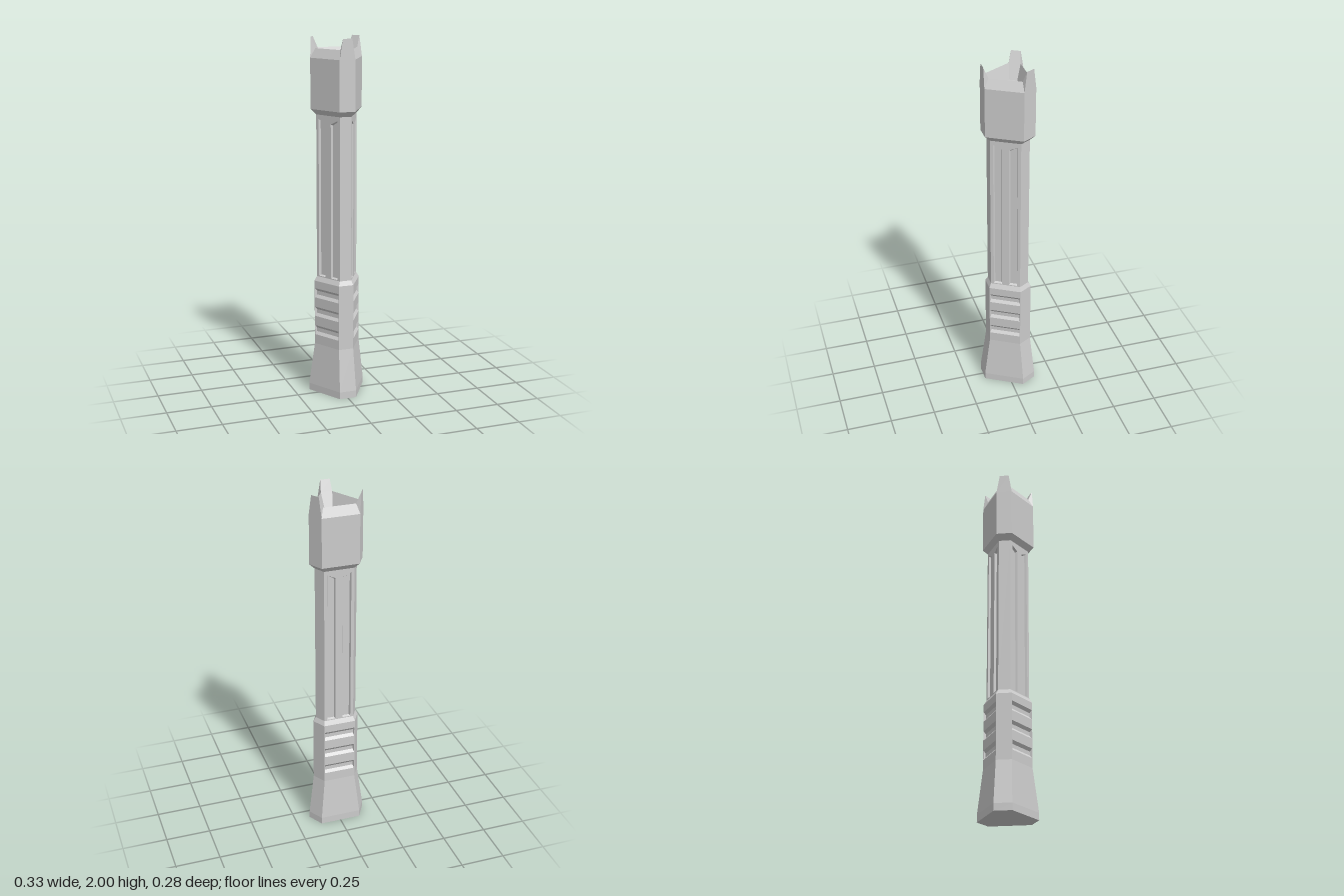
import * as THREE from 'three';

const V = (x, y, z) => new THREE.Vector3(x, y, z);
const UP = V(0, 1, 0);

// Point on a narrow corner face, which stands 60 degrees round from the wide face
const corner = (u, y, d) => V(u, y, d).applyAxisAngle(UP, Math.PI / 3);

// One third of a hexagonal ring: d = distance of the corner face, w = its half width.
// l0-l1 is the wide edge, s0-s1 the corner edge.
function ring(y, d, w) {
  const dl = (d + Math.sqrt(3) * w) / 2;
  const half = d * Math.sqrt(3) / 2 - w / 2;
  return { y, dl, half, l0: V(-half, y, dl), l1: V(half, y, dl), s0: corner(-w, y, d), s1: corner(w, y, d) };
}

// Collects flat faces
class Faces {
  constructor() { this.p = []; }
  add(...pts) {
    for (let i = 1; i < pts.length - 1; i++)
      for (const v of [pts[0], pts[i], pts[i + 1]]) this.p.push(v.x, v.y, v.z);
  }
  wide(a, b) { this.add(a.l0, a.l1, b.l1, b.l0); }
  narrow(a, b) { this.add(a.s0, a.s1, b.s1, b.s0); }
  loft(...rings) {
    for (let i = 0; i < rings.length - 1; i++) {
      this.wide(rings[i], rings[i + 1]);
      this.narrow(rings[i], rings[i + 1]);
    }
  }
  cap(r, up) {
    const c = V(0, r.y, 0);
    if (up) { this.add(c, r.l0, r.l1); this.add(c, r.s0, r.s1); }
    else { this.add(c, r.l1, r.l0); this.add(c, r.s1, r.s0); }
  }
  // Upright wide face cut by recessed grooves (outlines counter-clockwise)
  grooved(a, b, grooves, depth, ix, iy) {
    const vec = (l) => l.map(([x, y]) => new THREE.Vector2(x, y));
    const shape = new THREE.Shape(vec([[-a.half, a.y], [a.half, a.y], [a.half, b.y], [-a.half, b.y]]));
    for (const g of grooves) shape.holes.push(new THREE.Path(vec(g)));
    const flat = new THREE.ShapeGeometry(shape).toNonIndexed().translate(0, 0, a.dl);
    this.p.push(...flat.attributes.position.array);
    for (const g of grooves) {
      const cx = g.reduce((s, q) => s + q[0], 0) / g.length;
      const cy = g.reduce((s, q) => s + q[1], 0) / g.length;
      const rim = g.map(([x, y]) => V(x, y, a.dl));
      const bed = g.map(([x, y]) => V(x - Math.sign(x - cx) * ix, y - Math.sign(y - cy) * iy, a.dl - depth));
      rim.forEach((r, i) => {
        const j = (i + 1) % rim.length;
        this.add(r, rim[j], bed[j], bed[i]);
      });
      this.add(...bed);
    }
  }
  geometry() {
    const g = new THREE.BufferGeometry();
    g.setAttribute('position', new THREE.Float32BufferAttribute(this.p, 3));
    g.computeVertexNormals();
    return g;
  }
}

export function createModel() {
  const model = new THREE.Group();
  model.name = 'triangularHandle';
  const material = new THREE.MeshStandardMaterial({ color: 0xcccccc, flatShading: true });

  // Repeats a third of a part around the axis
  function part(name, build) {
    const faces = new Faces();
    build(faces);
    const geometry = faces.geometry();
    const group = new THREE.Group();
    group.name = name;
    group.position.z = -0.021;
    for (let k = 0; k < 3; k++) {
      const mesh = new THREE.Mesh(geometry, material);
      mesh.name = name + 'Side' + (k + 1);
      mesh.rotation.y = Math.PI + k * Math.PI * 2 / 3;
      group.add(mesh);
    }
    model.add(group);
  }

  const gripLow = ring(0.28, 0.128, 0.042), gripHigh = ring(0.65, 0.128, 0.042);
  const shaftLow = ring(0.675, 0.116, 0.033), shaftHigh = ring(1.585, 0.116, 0.033);

  // Flared foot
  part('base', (f) => {
    const bottom = ring(0, 0.1605, 0.048);
    f.cap(bottom, false);
    f.loft(bottom, ring(0.04, 0.1605, 0.048), gripLow);
  });

  // Grip with three cross grooves on each wide face
  part('grip', (f) => {
    const x = gripLow.half - 0.003;
    const grooves = [0.334, 0.443, 0.552].map((y) => [[-x, y], [x, y], [x, y + 0.054], [-x, y + 0.054]]);
    f.grooved(gripLow, gripHigh, grooves, 0.012, 0.004, 0.016);
    f.narrow(gripLow, gripHigh);
    f.loft(gripHigh, shaftLow);
  });

  // Shaft with two long flutes on each wide face
  part('shaft', (f) => {
    const right = [[0.02, 0.68], [0.067, 0.68], [0.067, 1.562], [0.02, 1.54]];
    const left = right.map(([x, y]) => [-x, y]).reverse();
    f.grooved(shaftLow, shaftHigh, [left, right], 0.012, 0.005, 0.006);
    f.narrow(shaftLow, shaftHigh);
  });

  // Hollow head with a pointed prong on each corner
  part('head', (f) => {
    const outer = ring(1.89, 0.145, 0.044);
    const rim = ring(1.94, 0.12, 0.031);
    const floor = ring(1.86, 0.086, 0.022);
    const tip0 = corner(-0.026, 2, 0.145), tip1 = corner(0.026, 2, 0.145);
    f.loft(shaftHigh, ring(1.615, 0.145, 0.044), outer);
    f.wide(outer, rim);
    f.add(outer.s0, outer.s1, tip1, tip0);
    f.add(outer.s0, tip0, rim.s0);
    f.add(rim.s1, tip1, outer.s1);
    f.add(rim.s1, rim.s0, tip0, tip1);
    f.add(floor.l1, floor.l0, rim.l0, rim.l1);
    f.add(floor.s1, floor.s0, rim.s0, rim.s1);
    f.cap(floor, true);
  });

  return model;
}
